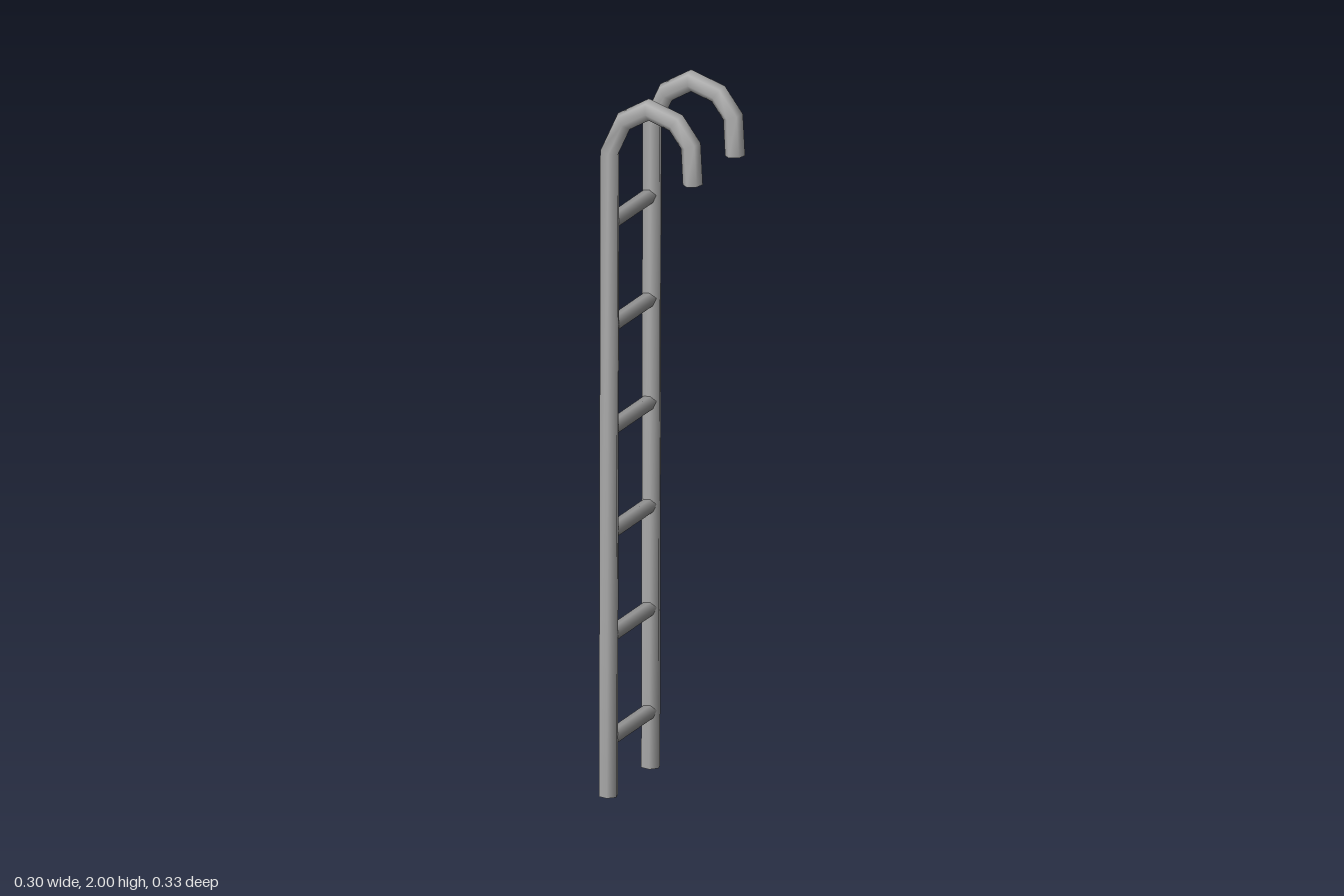
import * as THREE from 'three';

const SIDES = 6;

// Open, mitred six-sided tube swept along a polyline in the XY plane.
function sweepTube(points, radius) {
  const pts = points.map(([x, y]) => new THREE.Vector2(x, y));
  const last = pts.length - 1;
  const direction = (i) => pts[i + 1].clone().sub(pts[i]).normalize();
  const pos = [], index = [];
  pts.forEach((p, i) => {
    const before = direction(Math.max(i - 1, 0));
    const after = direction(Math.min(i, last - 1));
    const t = before.add(after).normalize();
    const stretch = 1 / t.dot(after);
    for (let j = 0; j < SIDES; j++) {
      const a = ((j - 0.25) / SIDES) * Math.PI * 2;
      const n = radius * stretch * Math.cos(a);
      pos.push(p.x - t.y * n, p.y + t.x * n, radius * Math.sin(a));
    }
  });
  for (let i = 0; i < last; i++) {
    for (let j = 0; j < SIDES; j++) {
      const a = i * SIDES + j, b = i * SIDES + (j + 1) % SIDES;
      index.push(a, b, b + SIDES, a, b + SIDES, a + SIDES);
    }
  }
  const geo = new THREE.BufferGeometry();
  geo.setAttribute('position', new THREE.Float32BufferAttribute(pos, 3));
  geo.setIndex(index);
  geo.computeVertexNormals();
  return geo;
}

export function createModel() {
  const ladder = new THREE.Group();
  ladder.name = 'ladder';
  const railMetal = new THREE.MeshStandardMaterial({ color: 0xaeaeae, side: THREE.DoubleSide });
  const rungMetal = new THREE.MeshStandardMaterial({ color: 0x989898 });

  // side rails, each bent over into a hook at the top
  const railGeo = sweepTube([
    [-0.126, 0], [-0.122, 1.838], [-0.08, 1.929], [-0.006, 1.972],
    [0.075, 1.945], [0.119, 1.885], [0.125, 1.775],
  ], 0.0275);
  for (const side of [1, -1]) {
    const rail = new THREE.Mesh(railGeo, railMetal);
    rail.name = side > 0 ? 'frontRail' : 'backRail';
    rail.position.z = side * 0.14;
    ladder.add(rail);
  }

  // six-sided rungs
  const rungGeo = new THREE.CylinderGeometry(
    0.0215, 0.0215, 0.26, SIDES, 1, false, THREE.MathUtils.degToRad(40),
  ).rotateX(Math.PI / 2);
  for (let i = 0; i < 6; i++) {
    const rung = new THREE.Mesh(rungGeo, rungMetal);
    rung.name = `rung${i + 1}`;
    rung.position.set(-0.124, 0.162 + i * 0.294, 0);
    ladder.add(rung);
  }
  return ladder;
}
